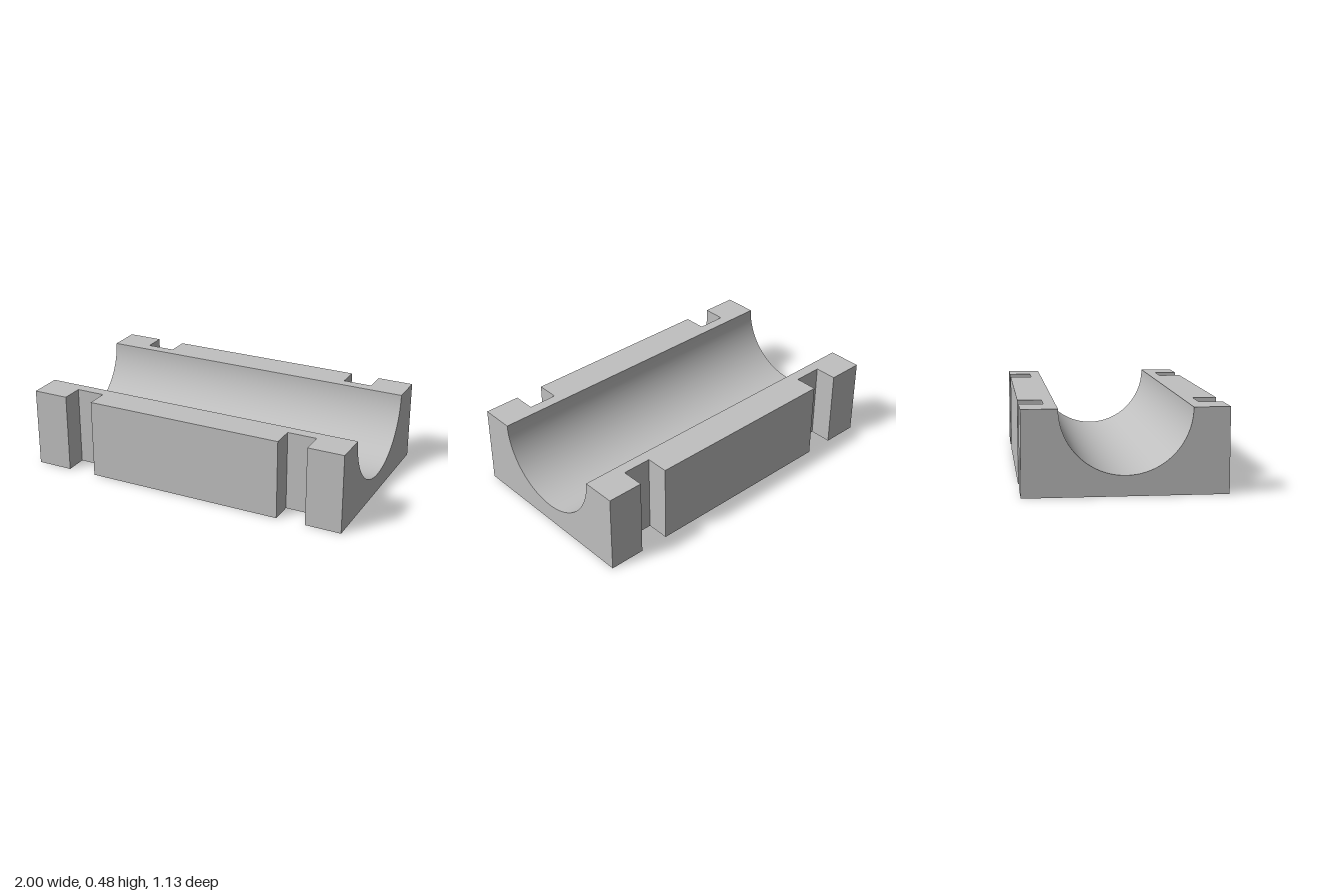
import * as THREE from 'three';
import { mergeGeometries } from 'three/addons/utils/BufferGeometryUtils.js';

const L = 1;          // half length
const W = 0.565;      // half width
const H = 0.478;      // height
const R = 0.364;      // trough radius
const SLOT = 0.43;    // z of the slot floor
const S0 = 0.607, S1 = 0.783; // slot edges along x
const ARC = 64;

// Long edge of the plan, with two slots: [x, z] from -x to +x
const edge = [
  [-L, W], [-S1, W], [-S1, SLOT], [-S0, SLOT], [-S0, W],
  [S0, W], [S0, SLOT], [S1, SLOT], [S1, W], [L, W],
];

const flat = (points) => new THREE.ShapeGeometry(
  new THREE.Shape(points.map(([x, y]) => new THREE.Vector2(x, y))));

// The same piece on both opposite sides of the block
const pair = (geometry) => mergeGeometries([geometry, geometry.clone().rotateY(Math.PI)]);

// Point of the trough for t from 0 to 1: [z, y]
const arcPoint = (t) => {
  const a = (t - 0.5) * Math.PI;
  return [R * Math.sin(a), H - R * Math.cos(a)];
};

function sideWalls() {
  const walls = [];
  for (let i = 0; i < edge.length - 1; i++) {
    const [x0, z0] = edge[i], [x1, z1] = edge[i + 1];
    walls.push(new THREE.PlaneGeometry(Math.hypot(x1 - x0, z1 - z0), H)
      .rotateY(-Math.atan2(z1 - z0, x1 - x0))
      .translate((x0 + x1) / 2, H / 2, (z0 + z1) / 2));
  }
  return pair(mergeGeometries(walls));
}

function topRims() {
  return pair(flat([...edge, [L, R], [-L, R]]).rotateX(-Math.PI / 2).translate(0, H, 0));
}

function base() {
  const far = edge.map(([x, z]) => [-x, -z]);
  return flat([...edge, ...far]).rotateX(Math.PI / 2);
}

function endFaces() {
  const profile = [[-W, H], [-W, 0], [W, 0], [W, H]];
  for (let i = ARC; i >= 0; i--) profile.push(arcPoint(i / ARC));
  return pair(flat(profile).rotateY(Math.PI / 2).translate(L, 0, 0));
}

// A plane bent into a smooth half cylinder, facing inward
function troughSurface() {
  const g = new THREE.PlaneGeometry(2 * L, 1, 1, ARC).rotateX(-Math.PI / 2);
  const p = g.attributes.position;
  for (let i = 0; i < p.count; i++) {
    const [z, y] = arcPoint(p.getZ(i) + 0.5);
    p.setXYZ(i, p.getX(i), y, z);
  }
  g.computeVertexNormals();
  return g;
}

export function createModel() {
  const group = new THREE.Group();
  group.name = 'slottedCradleBlock';
  const grey = new THREE.MeshStandardMaterial({ color: 0xc0c0c0 });
  grey.name = 'lightGrey';

  const parts = {
    slottedSideWalls: sideWalls(),
    topRims: topRims(),
    base: base(),
    endFaces: endFaces(),
    trough: troughSurface(),
  };
  for (const [name, geometry] of Object.entries(parts)) {
    const mesh = new THREE.Mesh(geometry, grey);
    mesh.name = name;
    group.add(mesh);
  }
  return group;
}
